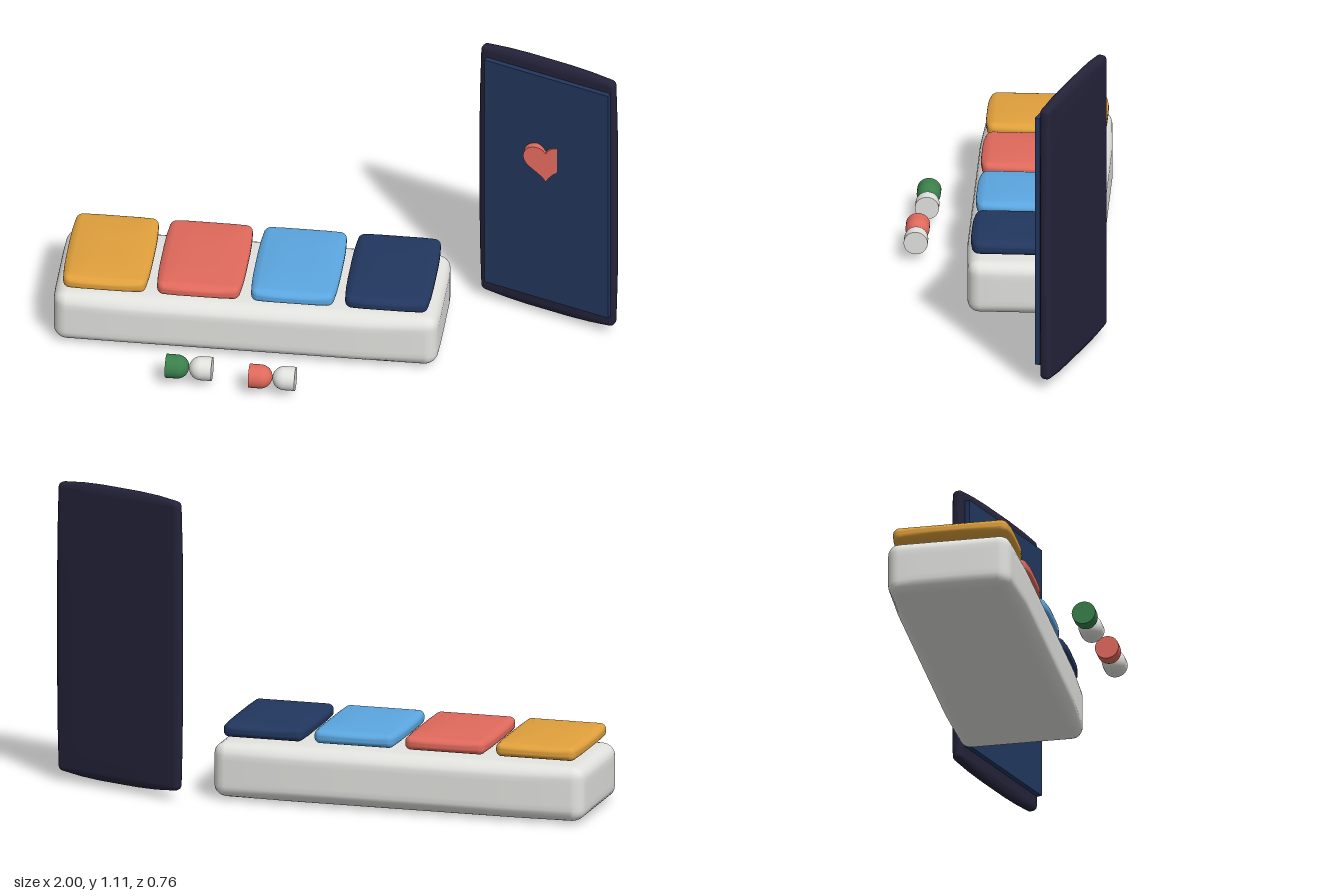
import * as THREE from 'three';
import { mergeVertices } from 'three/addons/utils/BufferGeometryUtils.js';

const mat = (name, color) => {
  const m = new THREE.MeshStandardMaterial({ color });
  m.name = name;
  return m;
};

// Box with filleted edges (r) whose faces ease inward near the rims.
// taper = inward ease per axis, start = fraction of the half size where it begins.
function softBox(size, r, taper, start) {
  const n = 12, core = 0.5;
  const half = size.map((s) => s / 2);
  let geo = new THREE.BoxGeometry(2, 2, 2, n, n, n);
  geo.deleteAttribute('uv');
  geo.deleteAttribute('normal');
  geo = mergeVertices(geo);
  const pos = geo.attributes.position;
  for (let i = 0; i < pos.count; i++) {
    const u = [pos.getX(i), pos.getY(i), pos.getZ(i)];
    // Dense rows in the fillet, wide rows in the middle
    const inner = u.map((v, a) => Math.sign(v) * (half[a] - r) * Math.min(1, Math.abs(v) / core));
    const out = new THREE.Vector3(...u.map((v) => Math.sign(v) * Math.max(0, (Math.abs(v) - core) / (1 - core))));
    out.normalize().multiplyScalar(r);
    const p = inner.map((v, a) => v + out.getComponent(a));
    const rim = p.map((v, a) => Math.max(0, (Math.abs(v) / half[a] - start) / (1 - start)));
    const q = p.map((v, a) => {
      const pull = Math.max(rim[(a + 1) % 3], rim[(a + 2) % 3]);
      return v * (1 - (taper[a] / half[a]) * pull);
    });
    pos.setXYZ(i, ...q);
  }
  geo.computeVertexNormals();
  return geo;
}

export function createModel() {
  const model = new THREE.Group();
  const white = mat('white plastic', 0xe2e2df);
  const amber = mat('amber', 0xe0a03c);
  const coral = mat('coral', 0xe0695c);
  const sky = mat('sky blue', 0x5ba6e0);
  const navy = mat('navy', 0x22375f);
  const dark = mat('dark casing', 0x24233a);
  const green = mat('green', 0x3a804b);

  const add = (parent, name, geo, material, x = 0, y = 0, z = 0) => {
    const mesh = new THREE.Mesh(geo, material);
    mesh.name = name;
    mesh.position.set(x, y, z);
    parent.add(mesh);
    return mesh;
  };

  // Organizer tray
  add(model, 'tray', softBox([1.385, 0.216, 0.472], 0.045, [0.006, 0.01, 0.014], 0.66), white, -0.308, 0.108, -0.095);

  // Four compartment lids
  const lidGeo = softBox([0.31, 0.066, 0.432], 0.024, [0.008, 0.009, 0.01], 0.5);
  [amber, coral, sky, navy].forEach((m, i) =>
    add(model, 'lid' + (i + 1), lidGeo, m, -0.815 + i * 0.3375, 0.253, -0.095));

  // Two capsules: flat-ended halves with domes meeting in the middle
  const R = 0.043, L = 0.04;
  const halfCapsule = (parent, name, material, turn) => {
    const half = new THREE.Group();
    half.name = name;
    half.rotation.z = turn;
    add(half, 'barrel', new THREE.CylinderGeometry(R, R, L, 32), material, 0, -R - L / 2, 0);
    add(half, 'dome', new THREE.SphereGeometry(R, 32, 10, 0, Math.PI * 2, 0, Math.PI / 2), material, 0, -R, 0);
    parent.add(half);
  };
  [[green, -0.483, 0.313], [coral, -0.181, 0.337]].forEach(([m, x, z], i) => {
    const pill = new THREE.Group();
    pill.name = 'capsule' + (i + 1);
    pill.position.set(x, 0.068, z);
    halfCapsule(pill, 'colouredHalf', m, -Math.PI / 2);
    halfCapsule(pill, 'whiteHalf', white, Math.PI / 2);
    model.add(pill);
  });

  // Standing phone, turned toward the tray
  const phone = new THREE.Group();
  phone.name = 'phone';
  phone.position.set(0.735, 0.565, -0.27);
  phone.rotation.y = -0.35;
  add(phone, 'casing', softBox([0.548, 1.084, 0.046], 0.018, [0.008, 0.014, 0.003], 0.5), dark);
  add(phone, 'screen', new THREE.BoxGeometry(0.495, 0.965, 0.02), navy, 0.01, 0.007, 0.029);
  model.add(phone);

  // Heart symbol facing straight ahead, its right side sinking into the screen
  const heart = new THREE.Shape();
  heart.moveTo(0, -0.122);
  heart.bezierCurveTo(-0.02, -0.08, -0.08, -0.06, -0.081, -0.015);
  heart.bezierCurveTo(-0.081, 0.035, -0.02, 0.04, 0, 0);
  heart.bezierCurveTo(0.02, 0.04, 0.081, 0.035, 0.081, -0.015);
  heart.bezierCurveTo(0.08, -0.06, 0.02, -0.08, 0, -0.122);
  const heartGeo = new THREE.ExtrudeGeometry(heart, { depth: 0.027, bevelEnabled: false, curveSegments: 8 });
  add(model, 'heart', heartGeo, coral, 0.73, 0.735, -0.242);

  return model;
}
